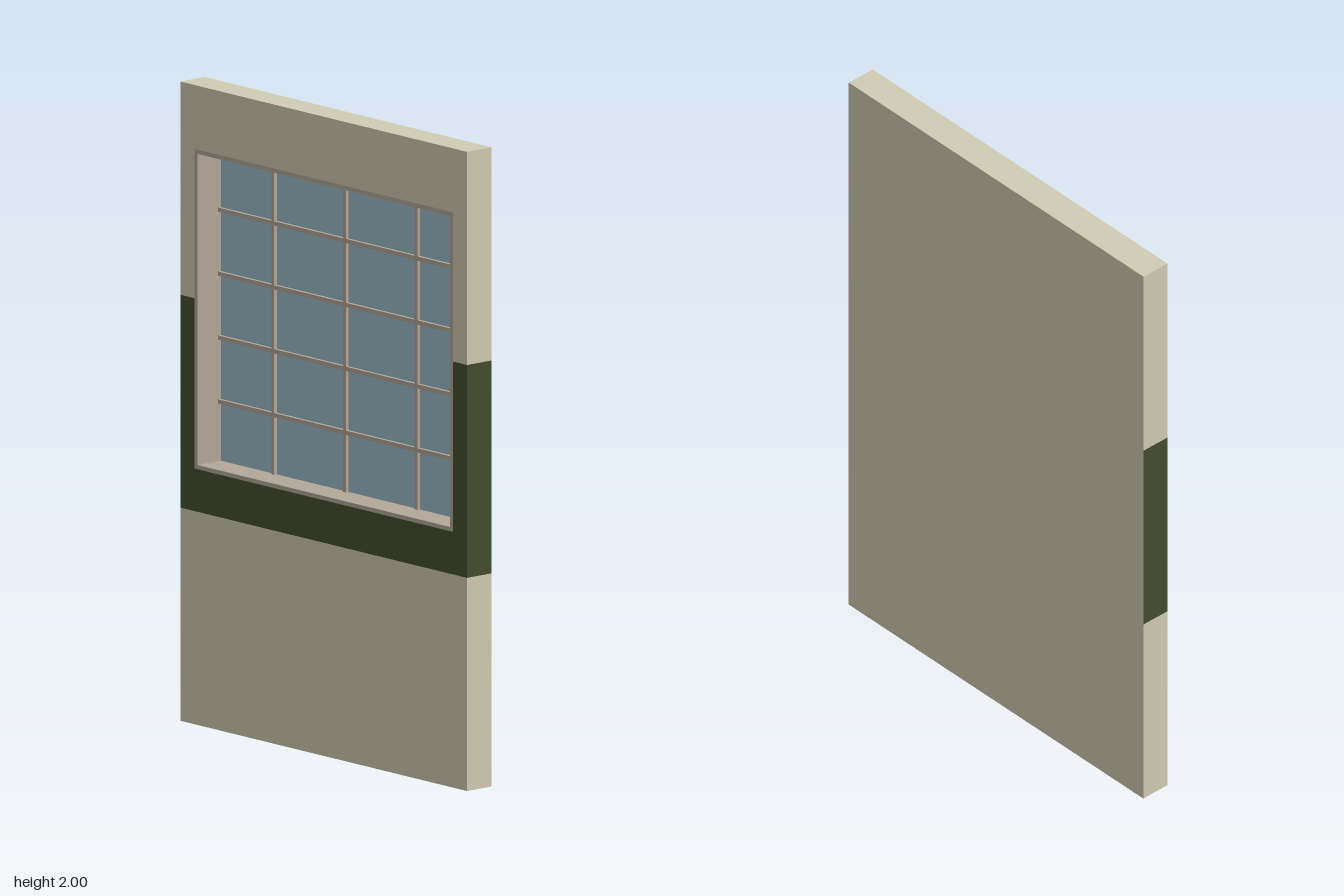
import * as THREE from 'three';

const W = 1.333, H = 2, FRONT = 0.05, BACK = -0.05;
const HOLE = { x: 0.6, y0: 0.8, y1: 1.8 };
const BAND = { y0: 0.667, y1: 1.333 };
const RIM = 0.0133;
const GLASS_Z = -0.046;

const material = (color) => new THREE.MeshStandardMaterial({ color });

// Flat outline pushed from z0 to z1
function slab(name, points, mat, z0, z1, hole) {
  const shape = new THREE.Shape(points.map(([x, y]) => new THREE.Vector2(x, y)));
  if (hole) shape.holes.push(new THREE.Path(hole.map(([x, y]) => new THREE.Vector2(x, y))));
  const geo = new THREE.ExtrudeGeometry(shape, { depth: z1 - z0, bevelEnabled: false });
  const mesh = new THREE.Mesh(geo.translate(0, 0, z0), mat);
  mesh.name = name;
  return mesh;
}

const rect = (x, y0, y1) => [[-x, y0], [x, y0], [x, y1], [-x, y1]];

export function createModel() {
  const group = new THREE.Group();
  group.name = 'windowWall';
  const cream = material(0xd1ccb3), green = material(0x454d2f);
  const trim = material(0xb3a898), blue = material(0x9dbdc9);
  const w = W / 2, h = HOLE.x, wallBack = BACK + 0.001;

  // Wall: plain base, green U-shaped band, cream arch around the window top
  group.add(slab('lowerWall', rect(w, 0, BAND.y0), cream, wallBack, FRONT));
  group.add(slab('greenBand', [
    [-w, BAND.y0], [w, BAND.y0], [w, BAND.y1], [h, BAND.y1],
    [h, HOLE.y0], [-h, HOLE.y0], [-h, BAND.y1], [-w, BAND.y1],
  ], green, wallBack, FRONT));
  group.add(slab('upperWall', [
    [-w, BAND.y1], [-h, BAND.y1], [-h, HOLE.y1], [h, HOLE.y1],
    [h, BAND.y1], [w, BAND.y1], [w, H], [-w, H],
  ], cream, wallBack, FRONT));

  // Plain sheet covering the whole back
  const back = new THREE.Mesh(new THREE.PlaneGeometry(W, H), cream);
  back.name = 'backPanel';
  back.rotation.y = Math.PI;
  back.position.set(0, H / 2, BACK);
  group.add(back);

  // Thin frame lining the deep opening
  group.add(slab('windowFrame', rect(h, HOLE.y0, HOLE.y1), trim, GLASS_Z, FRONT,
    rect(h - RIM, HOLE.y0 + RIM, HOLE.y1 - RIM)));

  // Glass at the back of the opening
  const midY = (HOLE.y0 + HOLE.y1) / 2, height = HOLE.y1 - HOLE.y0;
  const glass = new THREE.Mesh(new THREE.PlaneGeometry(2 * h - RIM, height - RIM), blue);
  glass.name = 'glass';
  glass.position.set(0, midY, GLASS_Z + 0.001);
  group.add(glass);

  // Glazing bars: three upright, four across
  const bars = new THREE.Group();
  bars.name = 'glazingBars';
  const addBar = (name, bw, bh, x, y) => {
    const bar = new THREE.Mesh(new THREE.BoxGeometry(bw, bh, 0.012), trim);
    bar.name = name;
    bar.position.set(x, y, GLASS_Z + 0.006);
    bars.add(bar);
  };
  for (const x of [-0.333, 0, 0.333]) addBar('uprightBar', RIM, height - 2 * RIM, x, midY);
  for (const y of [1, 1.2, 1.4, 1.6]) addBar('crossBar', 2 * (h - RIM), RIM, 0, y);
  group.add(bars);

  return group;
}
